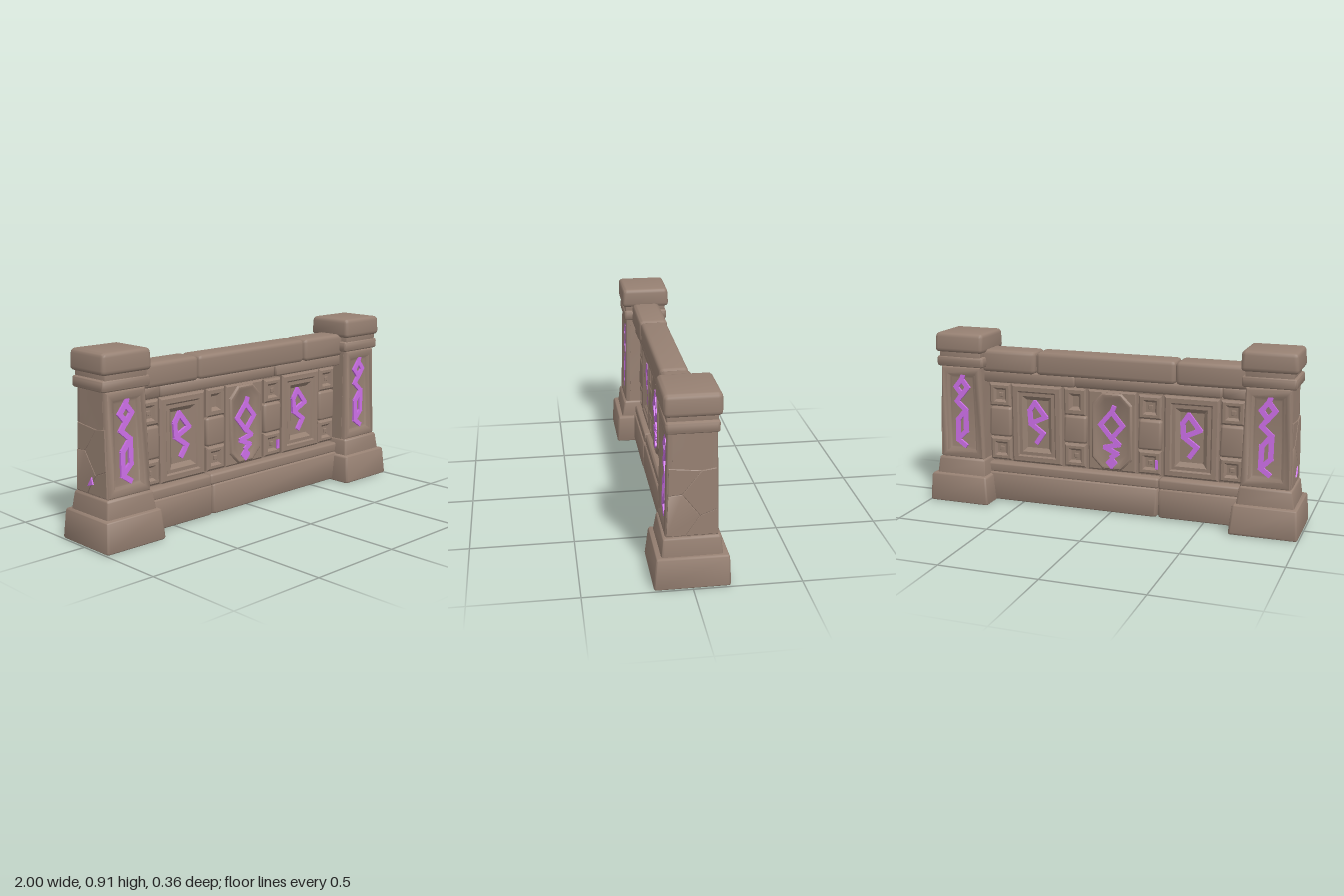
import * as THREE from 'three';
import { RoundedBoxGeometry } from 'three/addons/geometries/RoundedBoxGeometry.js';
import { mergeGeometries, toCreasedNormals } from 'three/addons/utils/BufferGeometryUtils.js';

const stone = new THREE.MeshStandardMaterial({ color: 0x968072 });
stone.name = 'brown stone';
const glow = new THREE.MeshStandardMaterial({ color: 0xd272ee });
glow.name = 'purple inlay';

function add(parent, name, geo, mat, x = 0, y = 0, z = 0) {
  const m = new THREE.Mesh(geo, mat);
  m.name = name;
  m.position.set(x, y, z);
  parent.add(m);
  return m;
}

// Narrows a geometry towards its top, with a faint hand-hewn wobble
function hew(geo, h, taper, wobble = 0) {
  const p = geo.attributes.position;
  for (let i = 0; i < p.count; i++) {
    const x = p.getX(i), y = p.getY(i), z = p.getZ(i);
    const s = 1 - taper * (y / h + 0.5);
    const w = wobble * Math.sin(x * 17 + y * 23 + z * 31);
    p.setXYZ(i, x * s + w, y, z * s - w);
  }
  return toCreasedNormals(geo, 0.9);
}

// Soft-edged stone between the given x and y limits, with half depth hz
function block(parent, name, x0, x1, y0, y1, hz, r = 0.012, taper = 0, wobble = 0.002, z = 0) {
  const h = y1 - y0;
  const geo = hew(new RoundedBoxGeometry(x1 - x0, h, hz * 2, 2, r), h, taper, wobble);
  return add(parent, name, geo, stone, (x0 + x1) / 2, (y0 + y1) / 2, z);
}

const rect = (hx, hy) => [[-hx, -hy], [hx, -hy], [hx, hy], [-hx, hy]];
const octagon = (hx, hy, c) => [[-hx + c, -hy], [hx - c, -hy], [hx, -hy + c], [hx, hy - c],
  [hx - c, hy], [-hx + c, hy], [-hx, hy - c], [-hx, -hy + c]];

// Relief made of nested outlines; steps are [inset, height]
function relief(outline, steps) {
  const hx = Math.max(...outline.map(p => Math.abs(p[0])));
  const hy = Math.max(...outline.map(p => Math.abs(p[1])));
  const n = outline.length, pos = [], idx = [];
  for (const [inset, z] of steps)
    for (const [x, y] of outline) pos.push(x * (1 - inset / hx), y * (1 - inset / hy), z);
  for (let k = 0; k < steps.length - 1; k++)
    for (let i = 0; i < n; i++) {
      const a = k * n + i, b = k * n + (i + 1) % n;
      idx.push(a, b, b + n, a, b + n, a + n);
    }
  const last = (steps.length - 1) * n;
  for (let i = 1; i < n - 1; i++) idx.push(last, last + i, last + i + 1);
  const geo = new THREE.BufferGeometry();
  geo.setAttribute('position', new THREE.Float32BufferAttribute(pos, 3));
  geo.setIndex(idx);
  return toCreasedNormals(geo, 0.6);
}

// Angular inlay made of straight strokes
function inlay(parent, name, lines, x, y, z, width = 0.025) {
  const parts = [];
  for (const line of lines)
    for (let i = 0; i < line.length - 1; i++) {
      const [ax, ay] = line[i], [bx, by] = line[i + 1];
      const g = new THREE.BoxGeometry(Math.hypot(bx - ax, by - ay) + width * 0.7, width, 0.014);
      g.rotateZ(Math.atan2(by - ay, bx - ax));
      g.translate((ax + bx) / 2, (ay + by) / 2, 0);
      parts.push(g);
    }
  return add(parent, name, mergeGeometries(parts), glow, x, y, z);
}

const diamond = (cy, hx, hy) => [[0, cy + hy], [hx, cy], [0, cy - hy], [-hx, cy], [0, cy + hy]];
const zigzag = [[[-0.015, 0.115], [-0.045, 0.07], [-0.04, 0.0], [0.03, -0.05], [-0.005, -0.1]],
  [[-0.015, 0.115], [0.045, 0.04], [-0.04, 0.0]]];
const centreMark = [diamond(0.035, 0.06, 0.07), [[0, 0.1], [0.012, 0.13]],
  [[0, -0.03], [0.04, -0.065], [-0.035, -0.085], [0.03, -0.115], [0, -0.135]], diamond(-0.165, 0.016, 0.018)];
const pillarMark = [[[0.008, 0.2], [0, 0.18]], diamond(0.138, 0.034, 0.042),
  [[0, 0.1], [-0.03, 0.06], [0.02, 0.015], [-0.026, -0.04], [-0.028, -0.15], [0.015, -0.18]],
  [[0.02, 0.015], [0.02, -0.1], [-0.02, -0.14]]];

const frameSteps = [[0, 0], [0, 0.03], [0.01, 0.038], [0.034, 0.038], [0.042, 0.031],
  [0.06, 0.033], [0.082, 0.015]];
const tileSteps = [[0, 0], [0, 0.028], [0.01, 0.036], [0.024, 0.036], [0.036, 0.022]];

// Carved side of the wall between the pillars
function wallFace() {
  const g = new THREE.Group();
  g.name = 'carvedWallFace';
  const tile = (x, y) => {
    add(g, 'squareTile', relief(rect(0.061, 0.062), tileSteps), stone, x, y);
    block(g, 'tileBoss', x - 0.01, x + 0.016, y - 0.012, y + 0.012, 0.01, 0.005, 0, 0, 0.02);
  };
  const plain = (x, y0, y1) =>
    block(g, 'plainStone', x - 0.062, x + 0.062, y0, y1, 0.02, 0.014, 0, 0.002, 0.018);
  for (const s of [-1, 1]) {
    add(g, 'framedPanel', relief(rect(0.143, 0.212), frameSteps), stone, s * 0.422, 0.432);
    inlay(g, 'panelInlay', zigzag, s * 0.42, 0.435, 0.021);
    tile(s * 0.632, 0.58);
    tile(s * 0.632, 0.285);
    plain(s * 0.632, 0.352, 0.515);
    tile(s * 0.204, 0.285);
  }
  plain(-0.204, 0.352, 0.5);
  add(g, 'notchedStone', relief(rect(0.061, 0.072),
    [[0, 0], [0, 0.03], [0.009, 0.037], [0.028, 0.037], [0.044, 0.018]]), stone, -0.204, 0.574);
  plain(0.204, 0.352, 0.51);
  tile(0.204, 0.576);
  inlay(g, 'tileInlay', [[[0.018, 0.018], [0.018, -0.02]]], 0.226, 0.28, 0.032, 0.016);
  // Centre panel with clipped corners
  add(g, 'centreBacking', relief(rect(0.131, 0.212), [[0, 0], [0, 0.026], [0.008, 0.032]]), stone, 0, 0.432);
  add(g, 'centrePanel', relief(octagon(0.114, 0.207, 0.06), [[0, 0.02], [0.005, 0.036], [0.012, 0.042],
    [0.022, 0.042], [0.036, 0.033]]), stone, 0, 0.432);
  inlay(g, 'centreInlay', centreMark, 0, 0.432, 0.035);
  return g;
}

// Split stone plates for a pillar's outer side: outline corners and thickness
const plates = [
  [[[-0.108, 0.44], [-0.045, 0.445], [0.04, 0.555], [-0.105, 0.57]], 0.004],
  [[[0.035, 0.34], [0.113, 0.37], [0.105, 0.565], [0.04, 0.555], [-0.045, 0.445]], 0.006],
  [[[-0.116, 0.245], [-0.03, 0.245], [0.035, 0.34], [-0.045, 0.445], [-0.108, 0.44]], 0.006],
  [[[-0.03, 0.245], [0.116, 0.245], [0.113, 0.37], [0.035, 0.34]], 0.004]];

// Square pillar whose chipped outer side faces -x
function pillar(name) {
  const g = new THREE.Group();
  g.name = name;
  block(g, 'pillarBase', -0.173, 0.173, 0, 0.152, 0.177, 0.014, 0.07);
  block(g, 'pillarPlinth', -0.143, 0.147, 0.14, 0.24, 0.143, 0.012, 0.09);
  const upper = new THREE.Group();
  upper.name = 'pillarUpper';
  upper.position.x = 0.005;
  g.add(upper);
  const shaft = hew(new THREE.BoxGeometry(0.25, 0.5, 0.19, 4, 6, 4), 0.5, 0.09, 0.001);
  add(upper, 'pillarShaft', shaft, stone, 0, 0.485);
  for (const turn of [0, Math.PI]) {
    const face = new THREE.Group();
    face.name = 'pillarFace';
    face.rotation.y = turn;
    const frame = hew(relief(rect(0.124, 0.247), [[0, 0.08], [0, 0.114], [0.008, 0.121], [0.036, 0.121],
      [0.05, 0.106], [0.06, 0.103]]), 0.5, 0.09);
    add(face, 'pillarFrame', frame, stone, 0, 0.485);
    inlay(face, 'pillarInlay', pillarMark, 0, 0.485, 0.103).rotation.x = -0.02;
    upper.add(face);
  }
  const side = new THREE.Group();
  side.name = 'chippedSide';
  side.position.set(-0.125, 0.235, 0);
  side.rotation.z = -0.0225;
  upper.add(side);
  for (const [corners, thick] of plates) {
    const [u, v] = [0, 1].map(k => corners.reduce((sum, p) => sum + p[k], 0) / corners.length);
    const outline = corners.map(([x, y]) => [x - u, y - v]);
    add(side, 'chippedPlate', relief(outline, [[0, -0.004], [0, thick - 0.002], [0.003, thick]]), stone,
      0, v - 0.235, u).rotation.y = -Math.PI / 2;
  }
  block(upper, 'pillarCollar', -0.136, 0.136, 0.733, 0.788, 0.12, 0.014);
  block(upper, 'pillarNeck', -0.12, 0.12, 0.775, 0.825, 0.113, 0.005);
  block(upper, 'pillarCap', -0.141, 0.141, 0.81, 0.913, 0.131, 0.022, 0.03);
  return g;
}

export function createModel() {
  const model = new THREE.Group();
  model.name = 'carvedStoneBalustrade';

  const right = pillar('rightPillar');
  right.position.x = -0.826;
  const left = pillar('leftPillar');
  left.position.x = 0.826;
  left.rotation.y = Math.PI;
  model.add(right, left);
  // Small inlaid shard on the right pillar's outer side
  add(model, 'inlayShard', relief([[-0.025, -0.02], [0.022, -0.005], [0.01, 0.03]], [[0, 0], [0.003, 0.006]]),
    glow, -0.951, 0.3, 0).rotation.y = -Math.PI / 2;

  // Foot course, ledge, under-rail and top rail, each from separate stones
  const course = (name, seams, y0, y1, hz, r) => {
    for (let i = 0; i < seams.length - 1; i++)
      block(model, name, seams[i] + 0.002, seams[i + 1] - 0.002, y0, y1, hz - (i % 2) * 0.003, r);
  };
  course('footStone', [-0.72, -0.26, 0.72], 0.005, 0.162, 0.074, 0.018);
  course('ledgeStone', [-0.72, -0.26, 0.72], 0.155, 0.212, 0.062, 0.012);
  course('underRailStone', [-0.72, -0.58, 0.197, 0.72], 0.653, 0.715, 0.06, 0.01);
  course('topRailStone', [-0.72, -0.345, 0.41, 0.72], 0.708, 0.828, 0.074, 0.022);

  // Wall core with the same carving on front and back
  add(model, 'wallCore', new THREE.BoxGeometry(1.44, 0.436, 0.02), stone, 0, 0.428, 0);
  const back = wallFace();
  back.rotation.y = Math.PI;
  model.add(wallFace(), back);
  return model;
}
